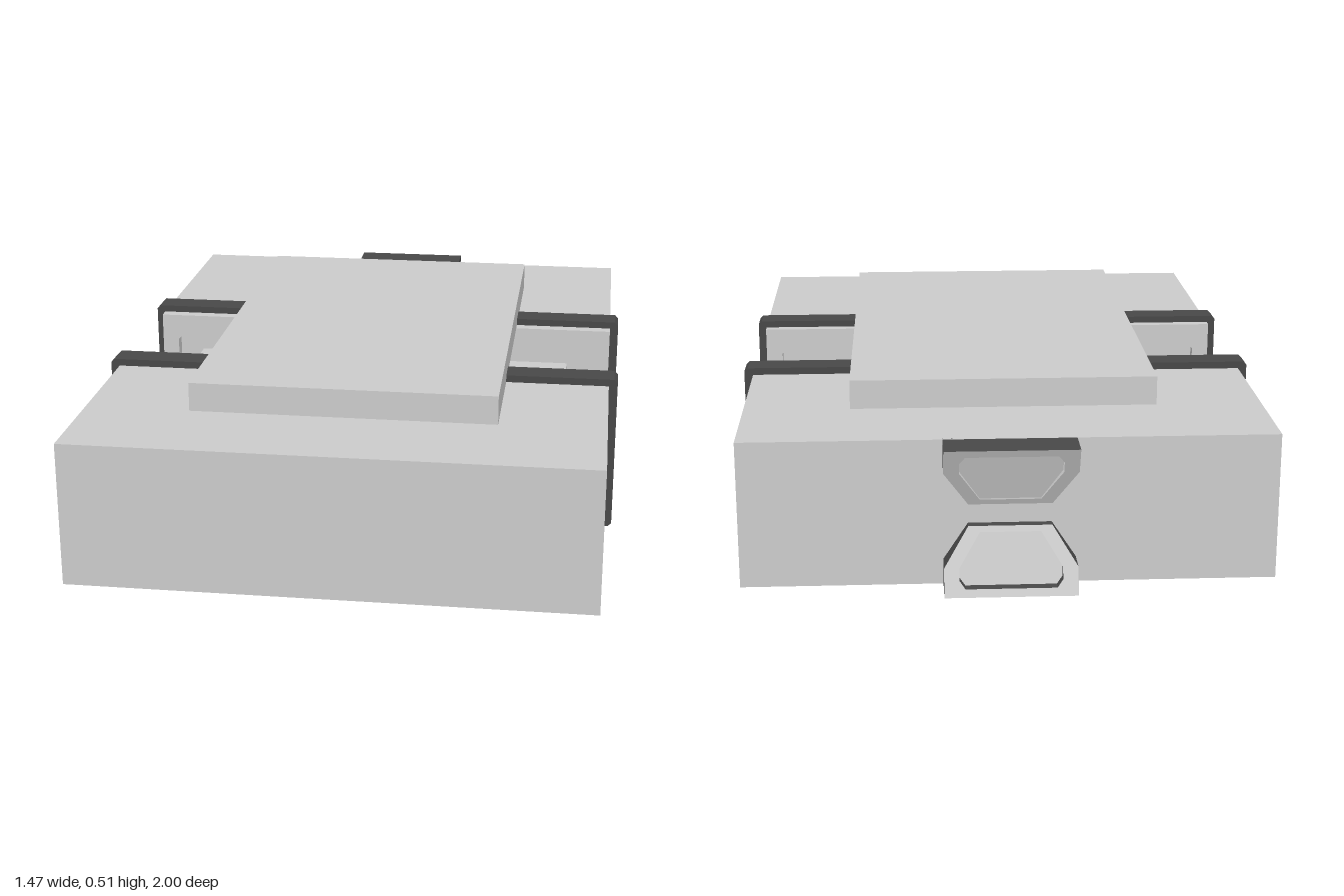
import * as THREE from 'three';

const grey = new THREE.MeshStandardMaterial({ color: 0xcccccc, flatShading: true });
const dark = new THREE.MeshStandardMaterial({ color: 0x484848, flatShading: true });

function add(parent, name, geometry, material = grey) {
  const mesh = new THREE.Mesh(geometry, material);
  mesh.name = name;
  parent.add(mesh);
  return mesh;
}

// Box given by its lower and upper corners
function box(parent, name, [x0, y0, z0], [x1, y1, z1], material) {
  const g = new THREE.BoxGeometry(x1 - x0, y1 - y0, z1 - z0);
  g.translate((x0 + x1) / 2, (y0 + y1) / 2, (z0 + z1) / 2);
  return add(parent, name, g, material);
}

const polygon = (points) => new THREE.Shape(points.map(([x, y]) => new THREE.Vector2(x, y)));
const extrude = (shape, depth) => new THREE.ExtrudeGeometry(shape, { depth, bevelEnabled: false });

// Rectangle with cut corners
function cutRect(x0, y0, x1, y1, c) {
  return polygon([[x0 + c, y0], [x1 - c, y0], [x1, y0 + c], [x1, y1 - c],
    [x1 - c, y1], [x0 + c, y1], [x0, y1 - c], [x0, y0 + c]]);
}

// Flared rear jaw: its depth grows away from the waist at y = 0.23
function jaw(parent, name, up) {
  const Y = (y) => (up ? 0.46 - y : y);
  const wedge = (points, hole, scale, material, part) => {
    const shape = polygon(points.map(([x, y]) => [x, Y(y)]));
    if (hole) shape.holes.push(polygon(hole.map(([x, y]) => [x, Y(y)])));
    const g = extrude(shape, 1);
    const p = g.attributes.position;
    for (let i = 0; i < p.count; i++) {
      const t = (0.2 - Y(p.getY(i))) / 0.17;
      p.setZ(i, p.getZ(i) > 0.5 ? -0.89 : -0.9 - scale * (0.025 + 0.075 * t));
    }
    g.computeVertexNormals();
    add(parent, part, g, material);
  };
  const outer = [[-0.175, 0.03], [0.175, 0.03], [0.175, 0.1], [0.11, 0.2], [-0.11, 0.2], [-0.175, 0.1]];
  const inner = [[-0.12, 0.05], [0.12, 0.05], [0.135, 0.07], [0.135, 0.1], [0.08, 0.185],
    [-0.08, 0.185], [-0.135, 0.1], [-0.135, 0.07]];
  wedge(outer, inner, 1, [grey, dark], name + 'Frame');
  wedge(inner, null, 0.7, grey, name + 'Recess');
}

export function createModel() {
  const model = new THREE.Group();
  model.name = 'container';

  // Main hull: two blocks joined by a floor under a cross tunnel
  box(model, 'frontBlock', [-0.71, 0.03, 0.28], [0.71, 0.43, 1]);
  box(model, 'rearBlock', [-0.71, 0.03, -0.9], [0.71, 0.43, -0.19]);
  box(model, 'tunnelFloor', [-0.71, 0.03, -0.19], [0.71, 0.07, 0.28]);
  box(model, 'topPlate', [-0.42, 0.43, -0.62], [0.42, 0.51, 0.71]);
  box(model, 'tunnelShelf', [-0.57, 0.29, -0.16], [0.57, 0.32, 0.25]);
  box(model, 'plateLiner', [-0.38, 0.422, 0], [0.38, 0.43, 0.2], dark);

  for (const s of [-1, 1]) {
    const side = new THREE.Group();
    side.name = s > 0 ? 'leftSide' : 'rightSide';
    model.add(side);

    // Framed end walls of the tunnel
    for (const z of [-0.19, 0.25]) {
      const frame = polygon([[0, 0.07], [0.71, 0.07], [0.71, 0.43], [0, 0.43]].map(([x, y]) => [s * x, y]));
      const a = s * 0.36, b = s * 0.66;
      frame.holes.push(cutRect(Math.min(a, b), 0.11, Math.max(a, b), 0.39, 0.04));
      add(side, 'tunnelFrame', extrude(frame, z < 0 ? 0.035 : 0.03)).position.z = z;
    }

    // Shelf edge and slim rail
    const edge = [s * 0.57, s * 0.58].sort((p, q) => p - q);
    box(side, 'shelfEdge', [edge[0], 0.29, -0.16], [edge[1], 0.32, 0.25]);
    const rail = [s * 0.66, s * 0.71].sort((p, q) => p - q);
    box(side, 'sillRail', [rail[0], 0.07, -0.16], [rail[1], 0.078, 0.25]);

    // Clamps wrapping over the hull edges
    const clamp = polygon([[0.42, 0.45], [0.42, 0.42], [0.7, 0.42], [0.7, 0.03], [0.55, 0.03],
      [0.55, 0], [0.725, 0], [0.735, 0.01], [0.735, 0.44], [0.725, 0.45]].map(([x, y]) => [s * x, y]));
    for (const z of [-0.27, 0.28]) add(side, 'clamp', extrude(clamp, 0.08), dark).position.z = z;

    // Stepped underside panel
    const steps = [[0.24, -0.75], [0.24, -0.56], [0.18, -0.5], [0.18, -0.4], [0.25, -0.34],
      [0.25, -0.12], [0.19, -0.06], [0.19, 0.16], [0.25, 0.22], [0.25, 0.44],
      [0.18, 0.5], [0.18, 0.6], [0.24, 0.66], [0.24, 0.85], [0.55, 0.85], [0.55, -0.75]];
    const panel = extrude(polygon(steps.map(([x, z]) => [s * x, z])), 0.02);
    panel.rotateX(Math.PI / 2).translate(0, 0.03, 0);
    add(side, 'undersidePanel', panel);
  }

  // Dark strip between the underside panels
  box(model, 'undersideStrip', [-0.27, 0.026, -0.745], [0.27, 0.031, 0.845],
    new THREE.MeshStandardMaterial({ color: 0x404040 }));

  // Rear coupling
  const coupling = new THREE.Group();
  coupling.name = 'rearCoupling';
  model.add(coupling);
  jaw(coupling, 'lowerJaw', false);
  jaw(coupling, 'upperJaw', true);

  return model;
}
